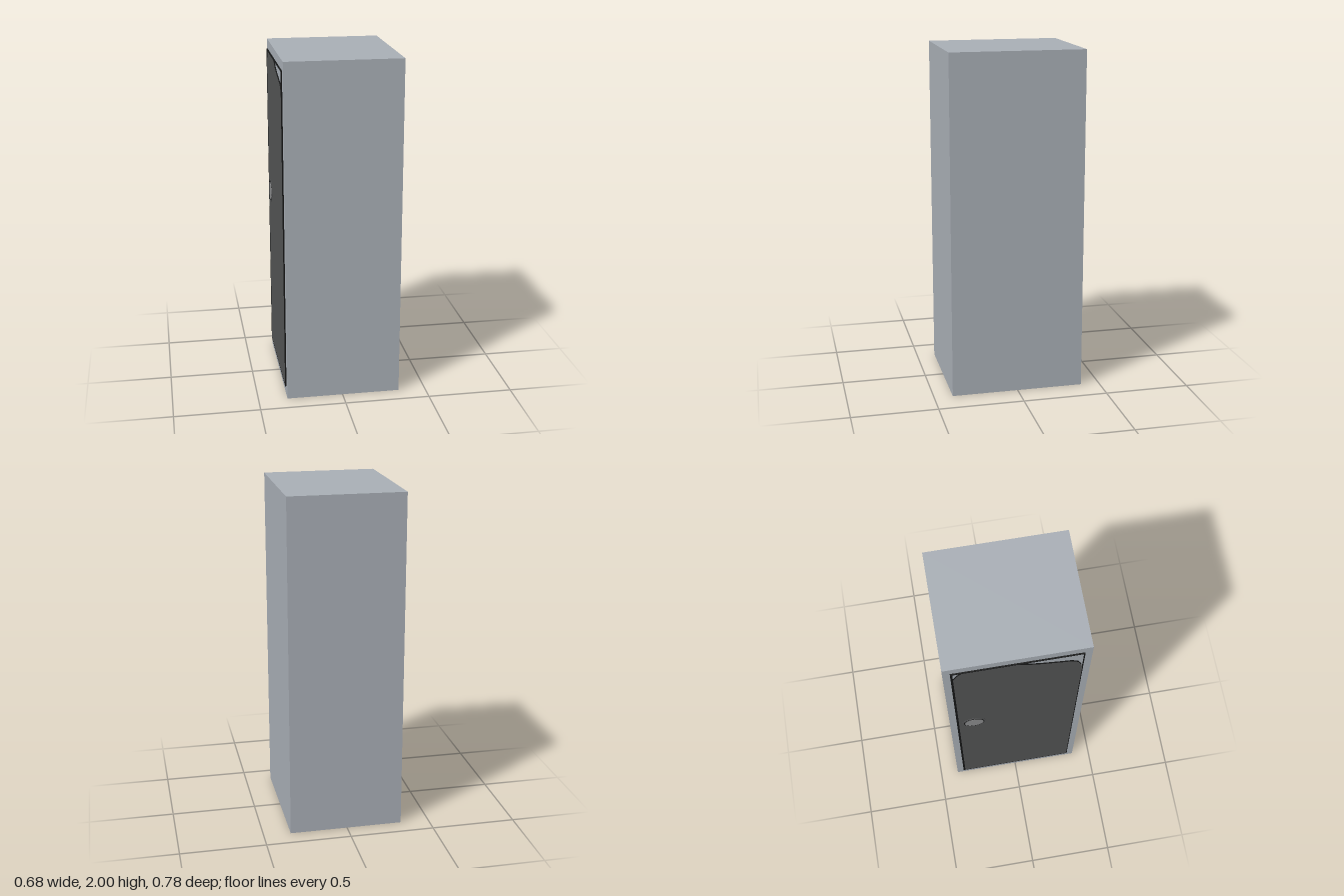
import * as THREE from 'three';

const mat = (name, color) => {
  const m = new THREE.MeshStandardMaterial({ color });
  m.name = name;
  return m;
};

export function createModel() {
  const bodyGrey = mat('bodyGrey', 0xa9afb6);
  const doorGrey = mat('doorGrey', 0x535455);
  const seamBlack = mat('seamBlack', 0x161717);
  const knobGrey = mat('knobGrey', 0x8c8d8e);

  const model = new THREE.Group();
  model.name = 'cabinet';
  const add = (parent, name, geometry, material) => {
    const mesh = new THREE.Mesh(geometry, material);
    mesh.name = name;
    parent.add(mesh);
    return mesh;
  };

  // Cabinet body with a dark underside
  const sides = Array(6).fill(bodyGrey);
  sides[3] = doorGrey;
  add(model, 'body', new THREE.BoxGeometry(0.67, 2, 0.78), sides).position.set(0.005, 1, 0);

  // Door group: local x runs along model z, local z points out of the -x side
  const door = new THREE.Group();
  door.name = 'door';
  door.position.x = -0.33;
  door.rotation.y = -Math.PI / 2;
  model.add(door);

  const plate = (points, depth) => new THREE.ExtrudeGeometry(
    new THREE.Shape(points.map(([u, v]) => new THREE.Vector2(u, v))),
    { depth, bevelEnabled: false });

  // Door panel with cut-back top corners
  add(door, 'doorPanel', plate([
    [-0.34, 0.065], [0.345, 0.065], [0.345, 1.74], [0.338, 1.79], [0.32, 1.835],
    [0.285, 1.86], [0.24, 1.868], [0.13, 1.89], [0.06, 1.91], [0, 1.94],
    [-0.29, 1.94], [-0.32, 1.9], [-0.34, 1.85],
  ], 0.007), [doorGrey, seamBlack]);

  // Dark seam around the door
  const strip = (name, u0, u1, v0, v1) =>
    add(door, name, new THREE.BoxGeometry(u1 - u0, v1 - v0, 0.008), seamBlack)
      .position.set((u0 + u1) / 2, (v0 + v1) / 2, 0.004);
  strip('hingeSeam', 0.345, 0.349, 0.06, 1.945);
  strip('latchSeam', -0.35, -0.338, 0.06, 1.945);
  strip('topSeam', -0.338, 0.345, 1.94, 1.945);
  strip('bottomSeam', -0.338, 0.345, 0.06, 0.065);

  // Round recessed handle: rim, dark groove and centre disc
  const handle = new THREE.Group();
  handle.name = 'handle';
  handle.position.set(-0.25, 1.09, 0.007);
  door.add(handle);
  const disc = (name, radius, height, material) => {
    const mesh = add(handle, name, new THREE.CylinderGeometry(radius, radius, height, 32), material);
    mesh.rotation.x = Math.PI / 2;
    mesh.position.z = height / 2;
  };
  disc('handleRim', 0.07, 0.002, doorGrey);
  disc('handleGroove', 0.06, 0.0028, seamBlack);
  disc('handleDisc', 0.054, 0.004, knobGrey);

  return model;
}
